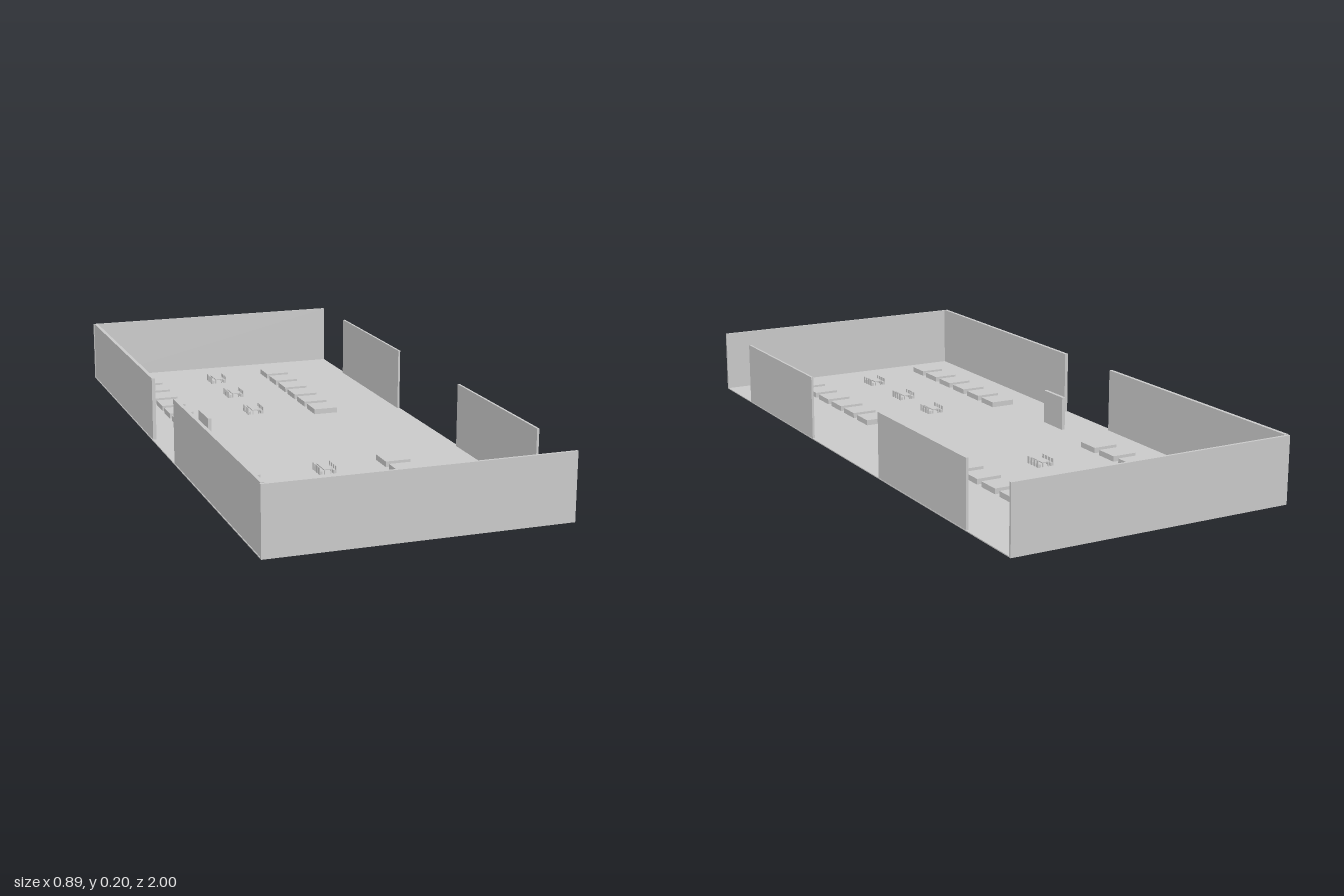
import * as THREE from 'three';

const material = new THREE.MeshStandardMaterial({ color: 0xcccccc, flatShading: true });

// Box given by its extents along each axis
function box(parent, name, [x0, x1], [y0, y1], [z0, z1]) {
  const mesh = new THREE.Mesh(new THREE.BoxGeometry(x1 - x0, y1 - y0, z1 - z0), material);
  mesh.position.set((x0 + x1) / 2, (y0 + y1) / 2, (z0 + z1) / 2);
  mesh.name = name;
  parent.add(mesh);
  return mesh;
}

// Small table with a row of chairs along both long sides
function createTableSet() {
  const set = new THREE.Group();
  set.name = 'tableSet';
  box(set, 'tableTop', [-0.013, 0.013], [0.013, 0.016], [-0.032, 0.032]);
  for (const x of [-0.01, 0.01]) {
    for (const z of [-0.029, 0.029]) {
      box(set, 'tableLeg', [x - 0.0015, x + 0.0015], [0, 0.013], [z - 0.0015, z + 0.0015]);
    }
  }
  for (const side of [-1, 1]) {
    for (let i = 0; i < 4; i++) {
      const z = -0.0255 + i * 0.017;
      const chair = new THREE.Group();
      chair.name = 'chair';
      box(chair, 'chairSeat', [-0.005, 0.005], [0, 0.01], [-0.005, 0.005]);
      box(chair, 'chairBack', [0.003, 0.005], [0.01, 0.022], [-0.005, 0.005]);
      chair.position.set(side * 0.022, 0, z);
      if (side < 0) chair.rotation.y = Math.PI;
      set.add(chair);
    }
  }
  return set;
}

export function createModel() {
  const model = new THREE.Group();
  model.name = 'hall';
  const floorTop = 0.003;

  box(model, 'floor', [-0.443, 0.443], [0, floorTop], [-1, 1]);

  // End walls
  box(model, 'frontWall', [-0.443, 0.443], [0, 0.2], [0.992, 1]);
  box(model, 'backWall', [-0.443, 0.443], [0, 0.2], [-1, -0.992]);

  // Side walls with door gaps
  for (const z of [[-0.992, -0.13], [0.135, 0.992]]) {
    box(model, 'rightWall', [-0.441, -0.43], [0, 0.202], z);
  }
  for (const z of [[-0.765, -0.235], [0.245, 0.777]]) {
    box(model, 'leftWall', [0.435, 0.442], [0, 0.202], z);
  }

  // Free-standing screen inside the right doorway
  box(model, 'screen', [-0.313, -0.302], [0, 0.11], [-0.053, 0.058]);

  // Rows of low square blocks: [x centre, first z]
  for (const [x, z0] of [[-0.288, -0.807], [0.183, -0.807], [-0.288, 0.342], [0.185, 0.34]]) {
    for (let i = 0; i < 6; i++) {
      const z = z0 + i * 0.1035;
      box(model, 'lowBlock', [x - 0.04, x + 0.04], [floorTop, 0.02], [z - 0.039, z + 0.039]);
    }
  }

  // Table sets down the middle
  for (const z of [-0.79, -0.578, -0.347, 0.358, 0.57, 0.803]) {
    const set = createTableSet();
    set.position.set(-0.042, floorTop, z);
    model.add(set);
  }
  return model;
}
